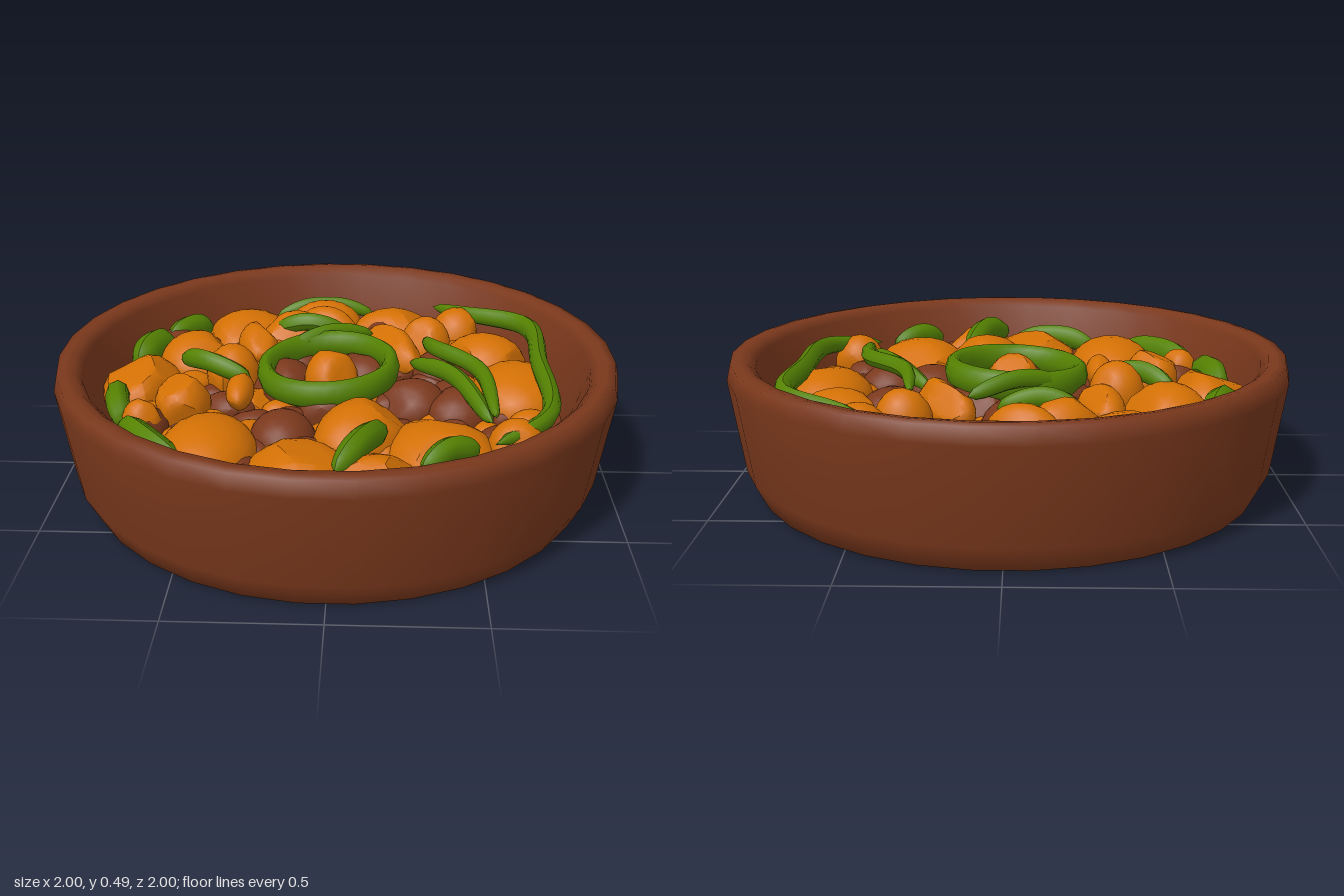
import * as THREE from 'three';
import { toCreasedNormals } from 'three/addons/utils/BufferGeometryUtils.js';

const mat = (name, color) => Object.assign(new THREE.MeshStandardMaterial({ color }), { name });

// seeded random numbers
function seeded(seed) {
  return () => (seed = (seed * 16807) % 2147483647) / 2147483647;
}

// a rounded lump with a few flat knife cuts
function chunkGeometry(rand, cuts) {
  const g = new THREE.IcosahedronGeometry(1, 3);
  const p = g.attributes.position, v = new THREE.Vector3();
  const planes = [];
  for (let i = 0; i < cuts; i++) {
    const n = new THREE.Vector3(rand() - 0.5, rand() - 0.5, rand() - 0.5).normalize();
    planes.push([n, 0.76 + rand() * 0.18]);
  }
  for (let i = 0; i < p.count; i++) {
    v.fromBufferAttribute(p, i);
    for (const [n, d] of planes) {
      const over = v.dot(n) - d;
      if (over > 0) v.addScaledVector(n, -over);
    }
    p.setXYZ(i, v.x, v.y, v.z);
  }
  return toCreasedNormals(g, 0.6);
}

// a tapering strip, taller than wide, bowed up in the middle, through [x, z] points
function stripGeometry(points, width, y) {
  const last = points.length - 1;
  const curve = new THREE.CatmullRomCurve3(points.map(([x, z], i) =>
    new THREE.Vector3(x, y - 0.02 + 0.04 * Math.sin((Math.PI * i) / last), z)));
  const segs = points.length * 5, sides = 8;
  const g = new THREE.TubeGeometry(curve, segs, 1, sides);
  const p = g.attributes.position, v = new THREE.Vector3();
  for (let i = 0; i <= segs; i++) {
    const t = i / segs, c = curve.getPointAt(t);
    const taper = width * Math.max(0, Math.sin(Math.PI * t)) ** 0.35 * (0.97 + 0.06 * Math.sin(t * 9));
    for (let j = 0; j <= sides; j++) {
      const k = i * (sides + 1) + j;
      v.fromBufferAttribute(p, k).sub(c).multiplyScalar(taper);
      p.setXYZ(k, c.x + v.x, c.y + v.y * 1.2, c.z + v.z);
    }
  }
  g.computeVertexNormals();
  return g;
}

export function createModel() {
  const model = new THREE.Group();
  const clay = mat('clay brown', 0x7a381c);
  const orange = mat('vegetable orange', 0xd37004);
  const green = mat('pepper green', 0x558202);
  const rand = seeded(4711);

  const add = (parent, name, geometry, material) => {
    const m = new THREE.Mesh(geometry, material);
    m.name = name;
    parent.add(m);
    return m;
  };
  const group = (name) => {
    const g = new THREE.Group();
    g.name = name;
    model.add(g);
    return g;
  };

  // round bowl with a soft foot and rounded rim
  const sides = 32, k = 1 / Math.cos(Math.PI / sides);
  const lathe = (pts) => new THREE.LatheGeometry(
    pts.map(([r, y]) => new THREE.Vector2(r * k, y)), sides, Math.PI / sides);
  add(model, 'bowl', lathe([
    [0, 0], [0.86, 0], [0.905, 0.01], [0.95, 0.1], [0.998, 0.43], [0.985, 0.485],
    [0.955, 0.49], [0.925, 0.485], [0.9, 0.46], [0.85, 0.28], [0.83, 0.18],
  ]), clay);
  add(model, 'stewBase', lathe([[0.85, 0.2], [0, 0.25]]), clay);

  const chunk = (parent, name, material, position, size, turn, cuts) => {
    const m = add(parent, name, chunkGeometry(rand, cuts), material);
    m.position.set(...position);
    m.scale.set(...size);
    m.rotation.y = turn;
  };

  // orange pieces: x, z, half width, half depth, turn; small and central ones sit higher
  const pieces = group('orangePieces');
  [
    [-0.38, -0.57, 0.18, 0.19], [0.23, -0.65, 0.2, 0.15, -0.2],
    [-0.55, -0.28, 0.15, 0.16], [-0.72, -0.04, 0.15, 0.18],
    [-0.41, 0.48, 0.17, 0.22], [-0.1, 0.62, 0.18, 0.17],
    [0.1, 0.37, 0.15, 0.19, -0.6], [0.36, 0.46, 0.19, 0.21],
    [0.14, 0.7, 0.17, 0.13, 0.3], [0.66, -0.03, 0.17, 0.2],
    [0.57, -0.33, 0.17, 0.15, -0.4], [0.21, -0.31, 0.08, 0.18, 0.5],
    [-0.06, -0.57, 0.14, 0.08, -0.35], [-0.32, -0.35, 0.08, 0.14, 0.2],
    [-0.02, -0.03, 0.1, 0.11], [-0.54, 0.16, 0.1, 0.13],
    [-0.39, -0.09, 0.1, 0.1], [0.34, -0.43, 0.1, 0.09],
    [-0.07, -0.7, 0.16, 0.1], [0.61, 0.45, 0.1, 0.09],
    [-0.34, 0.12, 0.05, 0.11], [-0.19, -0.5, 0.14, 0.1, 0.5],
    [0.47, -0.57, 0.11, 0.1], [-0.66, 0.3, 0.07, 0.06],
  ].forEach(([x, z, rx, rz, turn = 0]) => chunk(pieces, 'orangePiece', orange,
    [x, 0.4 - rx / 2 - 0.07 * (x * x + z * z), z], [rx, Math.min(0.13, rx * 1.2), rz], turn, 6));

  // brown beans: x, z
  const beans = group('brownBeans');
  [
    [-0.17, 0.35], [-0.03, -0.37], [0.1, -0.17], [0.28, 0.08], [0.44, 0.13], [-0.02, 0.15],
    [-0.16, -0.28], [-0.66, -0.43], [0.4, -0.22], [-0.2, -0.08],
  ].forEach(([x, z]) => chunk(beans, 'brownBean', clay,
    [x, 0.31 - 0.04 * Math.hypot(x, z), z], [0.115, 0.1, 0.125], rand() * 3, 3));

  // small bits filling the gaps
  const bits = group('smallBits');
  for (let i = 0; i < 110; i++) {
    const a = i * 2.39996, d = 0.76 * Math.sqrt((i + 0.5) / 110), r = 0.045 + 0.035 * rand();
    chunk(bits, 'smallBit', i % 2 ? orange : clay,
      [d * Math.cos(a), 0.26 + 0.04 * rand(), d * Math.sin(a)], [r, r * 0.9, r * 1.3], rand() * 3, 4);
  }

  // green strips lying along the wall: start and end angle in degrees, radius, half width
  const strips = group('greenStrips');
  [
    [-110, -81, 0.82, 0.03], [-132, -148, 0.81, 0.045], [-149, -166, 0.79, 0.058],
    [176, 157, 0.79, 0.046], [156, 125, 0.79, 0.048], [117, 90, 0.79, 0.042],
  ].forEach(([from, to, r, width]) => {
    const points = [0, 1, 2, 3].map((i) => {
      const a = THREE.MathUtils.degToRad(from + ((to - from) * i) / 3);
      return [r * Math.cos(a), r * Math.sin(a)];
    });
    add(strips, 'wallStrip', stripGeometry(points, width, 0.34), green);
  });

  // green strips lying across the stew: half width, height, then x, z points
  [
    [0.036, 0.39, [-0.59, -0.17], [-0.48, -0.05], [-0.31, 0.02]],
    [0.045, 0.4, [0.02, 0.74], [0.1, 0.61], [0.17, 0.44]],
    [0.038, 0.38, [0.29, 0.69], [0.38, 0.61], [0.48, 0.54]],
    [0.036, 0.4, [0.38, -0.74], [0.5, -0.6], [0.73, -0.43], [0.74, -0.05], [0.72, 0.37], [0.53, 0.54]],
    [0.03, 0.42, [0.33, -0.31], [0.36, -0.15], [0.51, 0.05], [0.55, 0.38]],
    [0.032, 0.39, [0.27, -0.16], [0.42, 0.05], [0.54, 0.36]],
    [0.034, 0.4, [-0.26, -0.47], [-0.12, -0.44], [0.03, -0.44]],
    [0.03, 0.42, [-0.21, -0.18], [-0.04, -0.28], [0.13, -0.37]],
  ].forEach(([width, y, ...points]) =>
    add(strips, 'crossStrip', stripGeometry(points, width, y), green));

  // green ring lying in the middle
  const ringGeometry = new THREE.TorusGeometry(0.23, 0.031, 8, 32);
  ringGeometry.rotateX(Math.PI / 2);
  ringGeometry.scale(1, 1.7, 1);
  const ring = add(model, 'greenRing', ringGeometry, green);
  ring.position.set(-0.03, 0.4, -0.02);
  ring.rotation.set(0.02, 0, 0.05);

  return model;
}
